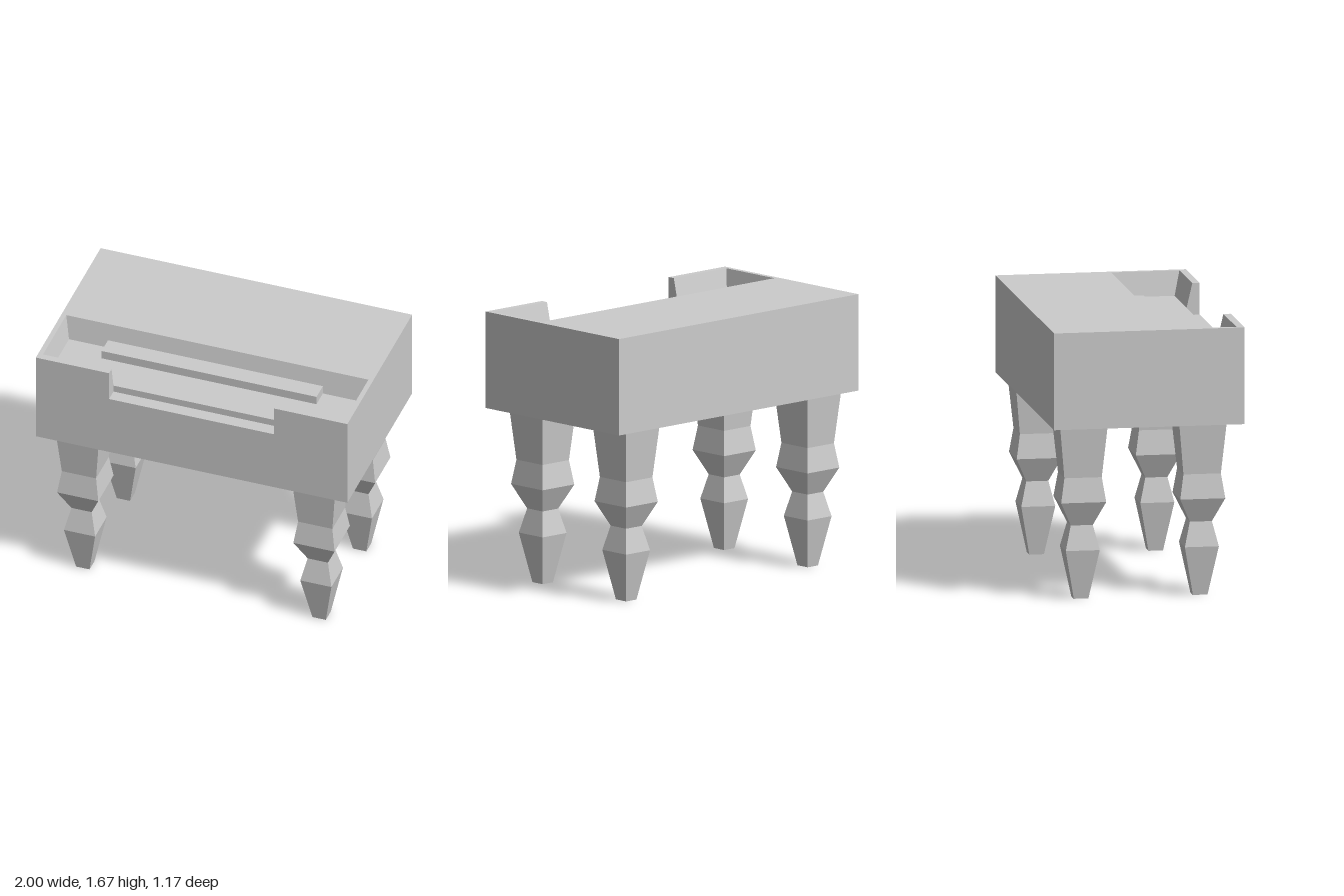
import * as THREE from 'three';

const material = new THREE.MeshStandardMaterial({ color: 0xcccccc, flatShading: true });

// Convex polygons of the +x half, fanned into triangles and mirrored to -x
function mirroredFaces(faces) {
  const pos = [];
  const fan = (p) => {
    for (let i = 1; i < p.length - 1; i++) pos.push(...p[0], ...p[i], ...p[i + 1]);
  };
  for (const face of faces) {
    fan(face);
    fan(face.map(([x, y, z]) => [-x, y, z]).reverse());
  }
  const geo = new THREE.BufferGeometry();
  geo.setAttribute('position', new THREE.Float32BufferAttribute(pos, 3));
  geo.computeVertexNormals();
  return geo;
}

function addMesh(parent, name, geo) {
  const mesh = new THREE.Mesh(geo, material);
  mesh.name = name;
  parent.add(mesh);
  return mesh;
}

export function createModel() {
  const model = new THREE.Group();
  model.name = 'table';

  // Heights: body bottom, body top, recess floor, notch ledge
  const B = 1.075, T = 1.67, F = 1.52, L = 1.475;
  // Half width, half depth, half notch width
  const W = 1, D = 0.585, N = 0.53;
  // Recess rim (top) and recess floor limits
  const rx = 0.97, rb = 0.12, rf = 0.54;
  const fx = 0.94, fb = 0.155, ff = 0.505;

  // Outer shell with a notch in the front
  addMesh(model, 'body', mirroredFaces([
    [[0, B, -D], [W, B, -D], [W, B, D], [0, B, D]],
    [[0, B, -D], [0, T, -D], [W, T, -D], [W, B, -D]],
    [[W, B, D], [W, B, -D], [W, T, -D], [W, T, D]],
    [[0, B, D], [W, B, D], [W, L, D], [0, L, D]],
    [[N, L, D], [W, L, D], [W, T, D], [N, T, D]],
    // top surface around the recess
    [[0, T, -D], [0, T, rb], [W, T, rb], [W, T, -D]],
    [[rx, T, rb], [rx, T, rf], [W, T, rf], [W, T, rb]],
    [[N, T, rf], [N, T, D], [W, T, D], [W, T, rf]],
  ]));

  // Recess with sloping walls, and the notch ledge and cheeks
  addMesh(model, 'recess', mirroredFaces([
    [[0, F, fb], [0, F, ff], [fx, F, ff], [fx, F, fb]],
    [[0, F, fb], [fx, F, fb], [rx, T, rb], [0, T, rb]],
    [[fx, F, fb], [fx, F, ff], [rx, T, rf], [rx, T, rb]],
    [[fx, F, ff], [N, F, ff], [N, T, rf], [rx, T, rf]],
    [[0, L, ff], [0, L, D], [N, L, D], [N, L, ff]],
    [[0, L, ff], [N, L, ff], [N, F, ff], [0, F, ff]],
    [[N, L, ff], [N, L, D], [N, T, D], [N, T, rf], [N, F, ff]],
  ]));

  // Raised bar along the back of the recess floor
  const bar = addMesh(model, 'bar', new THREE.BoxGeometry(1.38, 0.055, 0.115));
  bar.position.set(0, F + 0.0275, 0.2125);

  // Four-sided turned legs: half widths by height
  const profile = [[0, 0], [0.043, 0], [0.1, 0.305], [0.065, 0.455], [0.1325, 0.605], [0.11, 0.755], [0.14, B]]
    .map(([h, y]) => new THREE.Vector2(h * Math.SQRT2, y));
  const legGeo = new THREE.LatheGeometry(profile, 4, Math.PI / 4);
  for (const [zName, z] of [['front', 0.347], ['back', -0.385]]) {
    for (const [xName, x] of [['Left', 0.75], ['Right', -0.767]]) {
      const leg = addMesh(model, `${zName}${xName}Leg`, legGeo);
      leg.position.set(x, 0, z);
      leg.scale.z = 1.045;
    }
  }

  return model;
}
